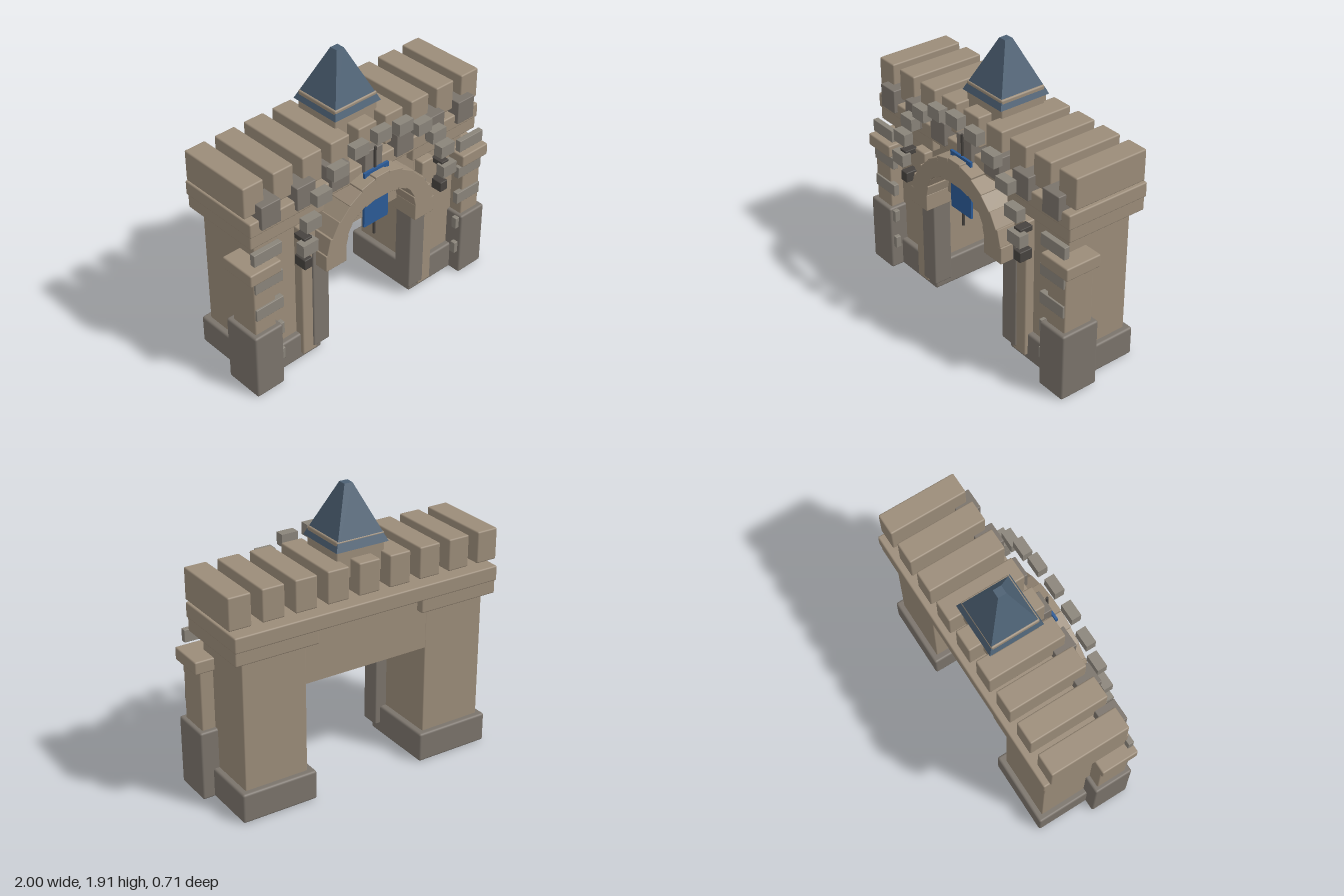
import * as THREE from 'three';
import { RoundedBoxGeometry } from 'three/addons/geometries/RoundedBoxGeometry.js';

export function createModel() {
  const root = new THREE.Group();
  root.name = 'castleGate';
  const paint = (color) => new THREE.MeshStandardMaterial({ color });
  const stone = paint(0x9b8c79);
  const darkStone = paint(0x7a736b);
  const greyStone = paint(0x8a847a);
  const iron = paint(0x47433f);
  const cloth = paint(0x2b5a96);
  const slate = paint(0x4c6073);
  slate.flatShading = true;

  function add(name, geometry, material, x, y, z) {
    const mesh = new THREE.Mesh(geometry, material);
    mesh.name = name;
    mesh.position.set(x, y, z);
    root.add(mesh);
    return mesh;
  }

  // box given by its limits; bevel > 0 rounds the edges
  function block(name, material, [x0, x1], [y0, y1], [z0, z1], bevel = 0.01) {
    const w = x1 - x0, h = y1 - y0, d = z1 - z0;
    const geometry = bevel > 0
      ? new RoundedBoxGeometry(w, h, d, 2, bevel)
      : new THREE.BoxGeometry(w, h, d);
    return add(name, geometry, material, (x0 + x1) / 2, (y0 + y1) / 2, (z0 + z1) / 2);
  }

  // the same box on both sides of the gate
  function pair(name, material, [x0, x1], y, z, bevel) {
    block(name + 'Left', material, [x0, x1], y, z, bevel);
    block(name + 'Right', material, [-x1, -x0], y, z, bevel);
  }

  // towers with their plinths, and the wall over the passage
  pair('towerPlinth', darkStone, [0.39, 0.91], [0, 0.2], [-0.335, 0.215], 0.015);
  pair('tower', stone, [0.435, 0.87], [0.18, 1.1], [-0.295, 0.175], 0.008);
  block('gateWall', stone, [-0.46, 0.46], [0.8, 1.18], [-0.294, 0.174], 0);

  // cornices
  pair('lowerCornice', stone, [0.37, 0.935], [1.07, 1.17], [-0.345, 0.23]);
  block('upperCornice', stone, [-0.94, 0.94], [1.16, 1.26], [-0.355, 0.24]);

  // merlons along the top
  for (let i = -4; i <= 4; i++) {
    block('merlon', stone, [i * 0.22 - 0.075, i * 0.22 + 0.075], [1.29, 1.5], [-0.318, 0.21]);
  }

  // corbels under the parapet
  for (let i = -3; i <= 3; i++) {
    const x = i * 0.267;
    block('corbel', darkStone, [x - 0.072, x + 0.072], [1.2, 1.36], [0.125, 0.265], 0.006);
  }

  // front buttresses
  pair('buttressPlinth', darkStone, [0.775, 0.99], [0, 0.47], [0.03, 0.305], 0.014);
  pair('buttress', stone, [0.8, 0.96], [0.45, 0.88], [0.06, 0.272]);
  pair('buttressCap', stone, [0.765, 0.998], [0.867, 0.953], [0.04, 0.298]);

  // quoin stones up the buttresses
  for (let i = 0; i < 5; i++) {
    const y = 0.21 + i * 0.205;
    pair('quoin', greyStone, [0.745, 0.955], [y - 0.042, y + 0.042], [0.245, 0.284], 0.004);
  }

  // pilasters and jambs beside the passage
  pair('pilaster', stone, [0.45, 0.563], [0.04, 1.025], [0.1, 0.24]);
  pair('jamb', darkStone, [0.352, 0.482], [0.07, 0.9], [0.115, 0.25]);

  // stepped arch of voussoirs, thinner at the haunches
  const stones = 12;
  for (let i = 0; i <= stones; i++) {
    const a = (i / stones) * Math.PI;
    const thick = 0.165 - 0.055 * Math.sin(2 * a) ** 2;
    const voussoir = add('voussoir', new RoundedBoxGeometry(thick, 0.115, 0.2, 1, 0.004), stone,
      Math.cos(a) * 0.375, 0.772 + Math.sin(a) * 0.362, 0.243);
    voussoir.rotation.z = a;
  }

  // outer ring of small upright stones
  for (let i = 0; i <= 10; i++) {
    const a = (i / 10) * Math.PI;
    add('ringStone', new THREE.BoxGeometry(0.115, 0.082, 0.065), greyStone,
      Math.cos(a) * 0.585, 0.97 + Math.sin(a) * 0.525, 0.321);
  }

  // wall lanterns
  pair('lantern', iron, [0.543, 0.605], [0.793, 0.865], [0.225, 0.318], 0.006);
  pair('lanternBracket', iron, [0.543, 0.605], [0.99, 1.025], [0.225, 0.318], 0.004);

  // banner on its pole
  block('banner', cloth, [-0.1, 0.1], [0.835, 1.235], [0.275, 0.292], 0);
  add('bannerPole', new THREE.CylinderGeometry(0.009, 0.009, 0.645, 10), iron, 0, 1.0575, 0.275);

  // turret with a pyramid roof
  block('turret', stone, [-0.17, 0.17], [1.37, 1.62], [-0.22, 0.11]);
  const roof = new THREE.CylinderGeometry(0.028 * Math.SQRT2, 0.185 * Math.SQRT2, 0.355, 4);
  roof.rotateY(Math.PI / 4);
  add('turretRoof', roof, slate, 0, 1.7375, -0.057);

  return root;
}
